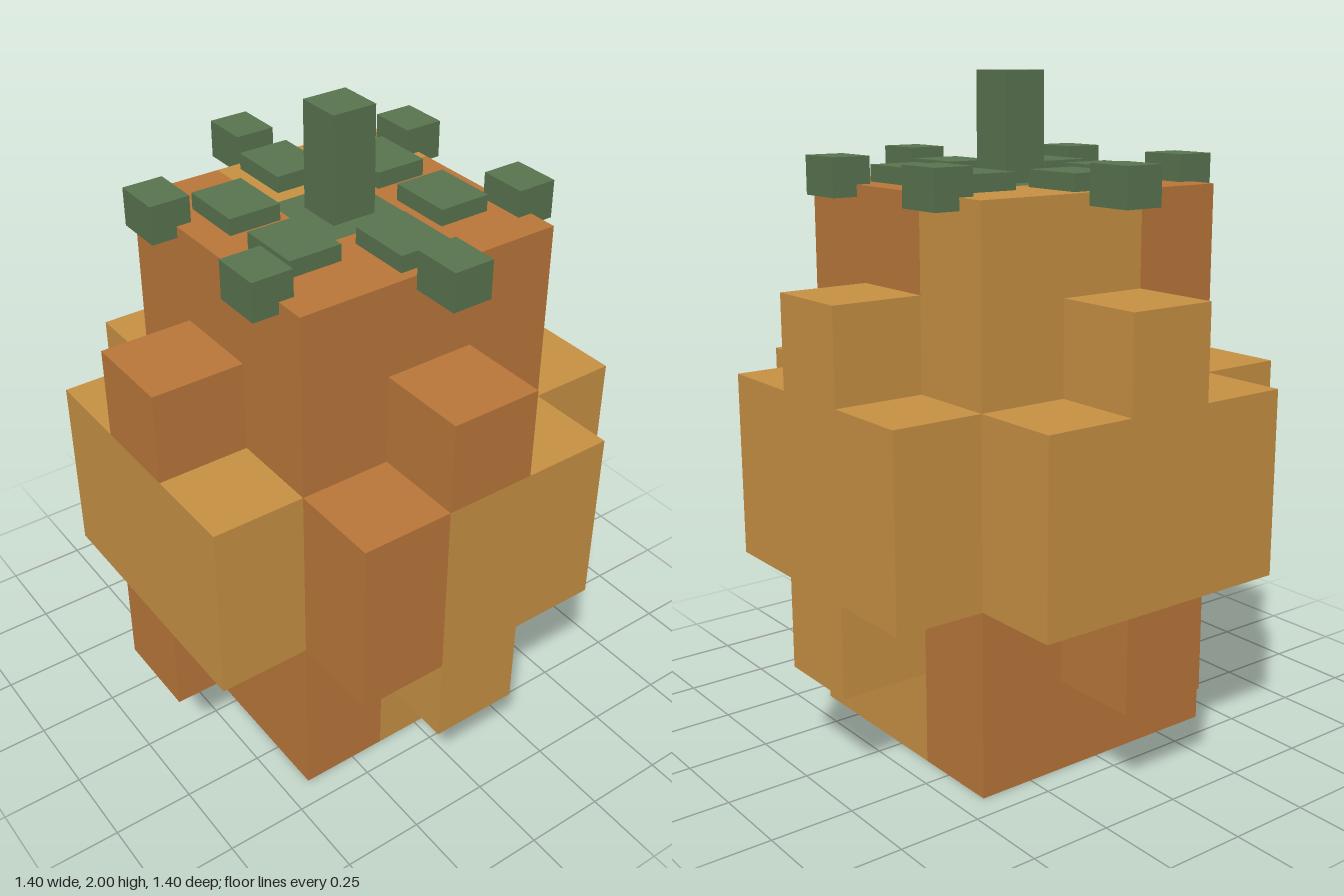
import * as THREE from 'three';
import { mergeGeometries } from 'three/addons/utils/BufferGeometryUtils.js';

const S = 0.28; // edge of one block

const makeMat = (name, color) => {
  const m = new THREE.MeshStandardMaterial({ color });
  m.name = name;
  return m;
};

// Block layers from bottom to top; rows run back to front, letters left to right.
// o = orange rind, g = golden rind, c = green crown block
const belly = ['.ggg.', 'ggggg', 'ggggg', 'ggggo', '.ggg.'];
const layers = [
  ['.....', '.ogg.', '.ogg.', '.ooo.', '.....'],
  ['..g..', '.ogg.', 'ooggg', '.ooo.', '..o..'],
  belly,
  belly,
  ['..g..', '.goo.', 'ggooo', '.ooo.', '..o..'],
  ['.....', '.goo.', '.gco.', '.ooo.', '.....'],
];
const blockAt = (i, j, k) => layers[j]?.[k + 2]?.[i + 2] ?? '.';

// The six sides of a block: neighbour offset and the rotation of its plane
const H = Math.PI / 2;
const sides = [
  [[1, 0, 0], [0, H]], [[-1, 0, 0], [0, -H]],
  [[0, 1, 0], [-H, 0]], [[0, -1, 0], [H, 0]],
  [[0, 0, 1], [0, 0]], [[0, 0, -1], [0, 2 * H]],
];

// All outward faces of the blocks with one letter
function rindGeometry(letter) {
  const faces = [];
  for (let j = 0; j < layers.length; j++)
    for (let k = -2; k <= 2; k++)
      for (let i = -2; i <= 2; i++) {
        if (blockAt(i, j, k) !== letter) continue;
        for (const [[dx, dy, dz], [rx, ry]] of sides) {
          if (blockAt(i + dx, j + dy, k + dz) !== '.') continue;
          const f = new THREE.PlaneGeometry(S, S);
          f.rotateX(rx).rotateY(ry);
          f.translate((i + dx / 2) * S, (j + 0.5 + dy / 2) * S, (k + dz / 2) * S);
          faces.push(f);
        }
      }
  return mergeGeometries(faces);
}

export function createModel() {
  const model = new THREE.Group();
  model.name = 'pineapple';
  const orange = makeMat('orangeRind', 0xbb773a);
  const gold = makeMat('goldenRind', 0xc89144);
  const green = makeMat('leafGreen', 0x59744f);

  // Fruit body
  const body = new THREE.Group();
  body.name = 'body';
  for (const [letter, mat, name] of [['o', orange, 'orangeBlocks'], ['g', gold, 'goldenBlocks'], ['c', green, 'crownBase']]) {
    const mesh = new THREE.Mesh(rindGeometry(letter), mat);
    mesh.name = name;
    body.add(mesh);
  }
  model.add(body);

  // Leaf crown: a centre shoot and two rings of six leaves
  const crown = new THREE.Group();
  crown.name = 'crown';
  const leaf = (name, w, d, y0, y1, x, z) => {
    const mesh = new THREE.Mesh(new THREE.BoxGeometry(w, y1 - y0, d), green);
    mesh.name = name;
    mesh.position.set(x, (y0 + y1) / 2, z);
    crown.add(mesh);
  };
  leaf('centreShoot', 0.14, 0.14, 1.66, 2, 0, 0);
  for (let n = 0; n < 6; n++) {
    const a = (n * Math.PI) / 3, c = Math.cos(a), s = Math.sin(a);
    leaf('innerLeaf', 0.2, 0.162, 1.66, 1.73, c * 0.288, s * 0.288);
    leaf('outerLeaf', 0.15, 0.124, 1.645, 1.76, c * 0.504, s * 0.504);
  }
  model.add(crown);
  return model;
}
